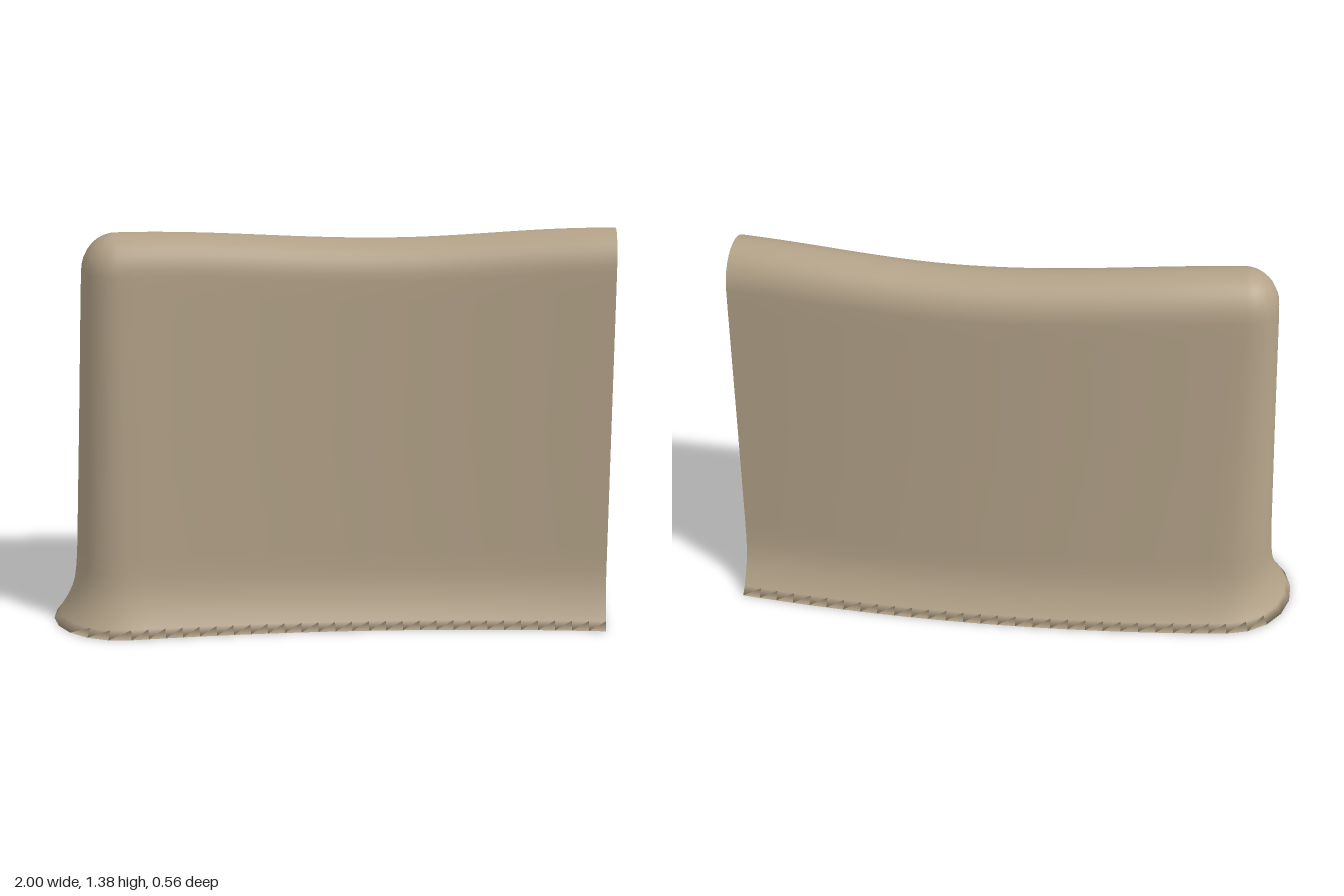
import * as THREE from 'three';
import { mergeVertices } from 'three/addons/utils/BufferGeometryUtils.js';

const R = 7.6, MID_X = 0.1, MID_Z = -0.0275; // gentle bend of the wall in plan
const T_OPEN = 0.1147, T_CAP = -0.1108; // arc angles of the open and rounded ends
const SPAN = 28, CAP = 10;

// Half width and height, from the flared foot up to the shoulder
const profile = [[0.257, 0], [0.235, 0.028], [0.213, 0.063], [0.192, 0.108], [0.179, 0.153],
  [0.172, 0.2], [0.167, 0.27], [0.145, 0.72], [0.124, 1.18], [0.12, 1.25]];
// Rounded crest
for (let k = 1; k <= 8; k++) {
  const a = (k / 8) * Math.PI / 2;
  profile.push([k === 8 ? 0 : 0.12 * Math.cos(a), 1.25 + 0.13 * Math.sin(a)]);
}

// Stations around the plan: centre point plus outward direction
function planStations() {
  const list = [];
  const add = (t, phi) => list.push({
    x: MID_X + R * Math.sin(t),
    z: MID_Z + R * (1 - Math.cos(t)),
    dx: Math.sin(t) * Math.cos(phi) - Math.cos(t) * Math.sin(phi),
    dz: -Math.cos(t) * Math.cos(phi) - Math.sin(t) * Math.sin(phi),
  });
  const at = (k) => T_OPEN + (T_CAP - T_OPEN) * k / SPAN;
  for (let k = 0; k <= SPAN; k++) add(at(k), 0); // back side
  for (let k = 1; k < CAP; k++) add(T_CAP, Math.PI * k / CAP); // rounded end
  for (let k = SPAN; k >= 0; k--) add(at(k), Math.PI); // front side
  return list;
}

// Shallow dip along the crest, fading towards the foot
function dip(x, y) {
  const u = Math.min(1, Math.abs(x - 0.18) / (x < 0.18 ? 0.92 : 0.79));
  return 0.036 * 0.5 * (1 + Math.cos(Math.PI * u)) * y / 1.38;
}

export function createModel() {
  const group = new THREE.Group();
  const stations = planStations();
  const rows = profile.length, last = stations.length - 1;
  const positions = [], index = [];

  for (const s of stations) {
    for (const [w, y] of profile) {
      positions.push(s.x + s.dx * w, y - dip(s.x, y), s.z + s.dz * w);
    }
  }
  // Wall skin
  for (let i = 0; i < last; i++) {
    for (let j = 0; j < rows - 1; j++) {
      const a = i * rows + j, b = a + rows;
      index.push(a, b, b + 1);
      if (j < rows - 2 || i < SPAN || i >= SPAN + CAP) index.push(a, b + 1, a + 1);
    }
  }
  // Flat underside joining the back and front foot edges
  for (let i = 0; i < last / 2; i++) {
    const a = i * rows, b = (i + 1) * rows, c = (last - i) * rows, d = (last - i - 1) * rows;
    index.push(a, c, d);
    if (b !== d) index.push(a, d, b);
  }

  let geometry = new THREE.BufferGeometry();
  geometry.setAttribute('position', new THREE.Float32BufferAttribute(positions, 3));
  geometry.setIndex(index);
  geometry = mergeVertices(geometry, 1e-4);
  geometry.computeVertexNormals();

  const wall = new THREE.Mesh(geometry, new THREE.MeshStandardMaterial({
    color: 0xb3a288, side: THREE.DoubleSide,
  }));
  wall.name = 'curvedWall';
  group.add(wall);
  return group;
}
